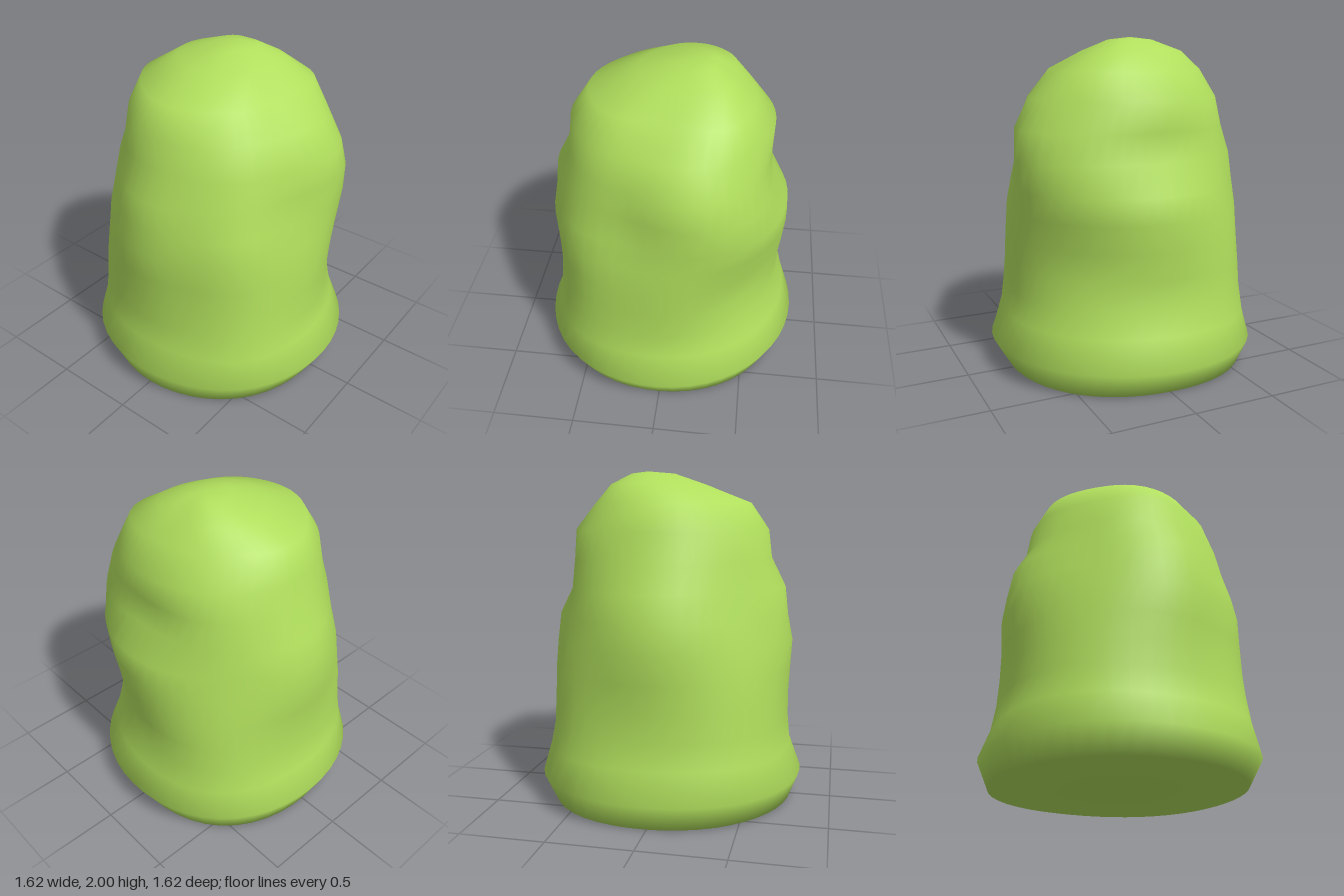
import * as THREE from 'three';

// Cross-sections: height, then radii towards
// +x, front-left, +z, front-right, -x, back-right, -z, back-left
const RINGS = [
  [0.005, 0.72, 0.75, 0.75, 0.74, 0.74, 0.77, 0.72, 0.73],
  [0.16, 0.81, 0.83, 0.81, 0.82, 0.81, 0.84, 0.81, 0.80],
  [0.34, 0.73, 0.79, 0.74, 0.77, 0.74, 0.80, 0.74, 0.73],
  [0.50, 0.72, 0.77, 0.73, 0.75, 0.72, 0.78, 0.69, 0.69],
  [0.66, 0.72, 0.76, 0.73, 0.74, 0.72, 0.77, 0.69, 0.67],
  [0.82, 0.73, 0.76, 0.74, 0.72, 0.73, 0.75, 0.71, 0.68],
  [0.99, 0.72, 0.76, 0.75, 0.70, 0.75, 0.72, 0.72, 0.72],
  [1.14, 0.70, 0.73, 0.72, 0.67, 0.73, 0.69, 0.71, 0.74],
  [1.31, 0.68, 0.68, 0.70, 0.65, 0.70, 0.66, 0.60, 0.71],
  [1.48, 0.67, 0.64, 0.61, 0.62, 0.61, 0.63, 0.59, 0.66],
  [1.65, 0.58, 0.58, 0.59, 0.58, 0.59, 0.59, 0.60, 0.61],
  [1.81, 0.42, 0.46, 0.48, 0.48, 0.51, 0.48, 0.48, 0.54],
  [1.92, 0.27, 0.27, 0.29, 0.31, 0.34, 0.32, 0.27, 0.31],
  [1.985, 0.13, 0.12, 0.14, 0.13, 0.14, 0.14, 0.12, 0.14],
];
// Soft hollows and bulges: angle from +x towards +z, height, angular spread, height spread, depth
const LUMPS = [
  [18, 1.15, 14, 0.40, -0.05],  // hollow down the left side
  [-22, 1.40, 15, 0.18, 0.05],  // left shoulder
  [68, 0.90, 12, 0.35, -0.03],  // furrow on the front
  [138, 1.50, 20, 0.22, -0.04], // flattened front right
  [205, 0.65, 15, 0.22, -0.02], // hollow at the back right
];
const SEGMENTS = 48;

// Smooth closed interpolation between the eight radii
function radiusAt(radii, t) {
  const i = Math.floor(t), f = t - i;
  const [a, b, c, d] = [-1, 0, 1, 2].map(k => radii[(i + k + 8) % 8]);
  return b + 0.5 * f * (c - a + f * (2 * a - 5 * b + 4 * c - d + f * (3 * (b - c) + d - a)));
}

// Sum of all hollows and bulges at one point of the surface
function lumpAt(degrees, y) {
  return LUMPS.reduce((sum, [angle, height, spread, rise, depth]) => {
    const turn = ((degrees - angle + 540) % 360 - 180) / spread;
    const lift = (y - height) / rise;
    return sum + depth * Math.exp(-0.5 * (turn * turn + lift * lift));
  }, 0);
}

function createBodyGeometry() {
  const positions = [], indices = [];
  for (const [y, ...radii] of RINGS) {
    // The crown leans towards the back
    const lean = y > 1.95 ? -0.13 : y > 1.9 ? -0.09 : 0;
    for (let s = 0; s < SEGMENTS; s++) {
      const turn = s / SEGMENTS, angle = turn * Math.PI * 2;
      const r = radiusAt(radii, turn * 8) + lumpAt(turn * 360, y);
      positions.push(r * Math.cos(angle), y, r * Math.sin(angle) + lean);
    }
  }
  const bottom = positions.length / 3, top = bottom + 1;
  positions.push(0, 0, 0, 0, 2, -0.16);

  // Side strips between neighbouring rings
  const last = (RINGS.length - 1) * SEGMENTS;
  for (let s = 0; s < SEGMENTS; s++) {
    const n = (s + 1) % SEGMENTS;
    for (let o = 0; o < last; o += SEGMENTS) {
      const a = o + s, b = o + n, c = a + SEGMENTS, d = b + SEGMENTS;
      indices.push(a, c, b, b, c, d);
    }
    // Base and crown caps
    indices.push(bottom, s, n, top, last + n, last + s);
  }
  const geometry = new THREE.BufferGeometry();
  geometry.setAttribute('position', new THREE.Float32BufferAttribute(positions, 3));
  geometry.setIndex(indices);
  geometry.computeVertexNormals();
  return geometry;
}

export function createModel() {
  const model = new THREE.Group();
  model.name = 'lumpyMound';
  const green = new THREE.MeshStandardMaterial({ color: 0xb0de5c });
  green.name = 'limeGreen';
  const body = new THREE.Mesh(createBodyGeometry(), green);
  body.name = 'body';
  model.add(body);
  return model;
}
